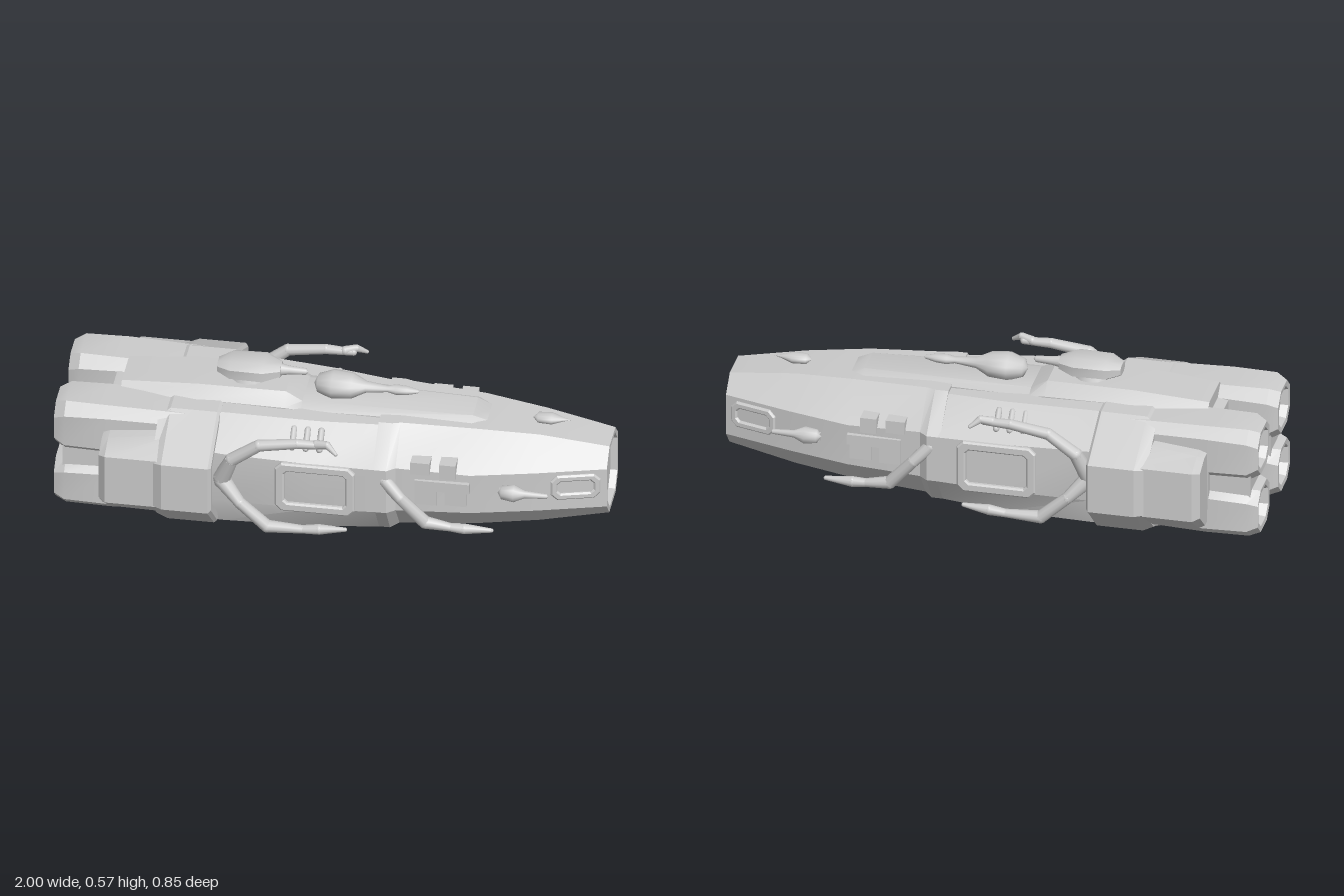
import * as THREE from 'three';
import { toCreasedNormals } from 'three/addons/utils/BufferGeometryUtils.js';

const grey = new THREE.MeshStandardMaterial({ color: 0xcccccc });

function add(parent, geo, name, pos = [0, 0, 0]) {
  const m = new THREE.Mesh(geo, grey);
  m.name = name;
  m.position.set(...pos);
  parent.add(m);
  return m;
}

// Eight-sided ring in the y/z plane: half width w, bottom y0, top y1,
// flat half widths b (bottom) and t (top), side flat from s0 to s1.
const ring = (x, w, y0, y1, b, t, s0, s1) =>
  [[-t, y1], [t, y1], [w, s1], [w, s0], [b, y0], [-b, y0], [-w, s0], [-w, s1]]
    .map(([z, y]) => new THREE.Vector3(x, y, z));

// Regular chamfered ring about (cy, 0) with half sizes w and h
const oct = (x, w, h, cy, k = 0.5) => ring(x, w, cy - h, cy + h, w * k, w * k, cy - h * k, cy + h * k);

// Skin a row of rings and close both ends
function loft(rings, crease = 0.45) {
  const p = [];
  const tri = (...vs) => vs.forEach(v => p.push(v.x, v.y, v.z));
  const n = rings[0].length;
  for (let r = 0; r < rings.length - 1; r++) {
    const a = rings[r], c = rings[r + 1];
    for (let i = 0; i < n; i++) {
      const j = (i + 1) % n;
      tri(a[i], a[j], c[i]);
      tri(a[j], c[j], c[i]);
    }
  }
  const first = rings[0], last = rings[rings.length - 1];
  for (let i = 1; i < n - 1; i++) {
    tri(first[0], first[i + 1], first[i]);
    tri(last[0], last[i], last[i + 1]);
  }
  const g = new THREE.BufferGeometry();
  g.setAttribute('position', new THREE.Float32BufferAttribute(p, 3));
  return toCreasedNormals(g, crease);
}

// Jointed limb of tapered rods through points [x, y, z, radius]
function limb(parent, name, pts) {
  const g = new THREE.Group();
  g.name = name;
  pts.forEach(([x, y, z, r], i) => {
    add(g, new THREE.SphereGeometry(r, 10, 8), 'joint', [x, y, z]);
    if (!i) return;
    const [px, py, pz, pr] = pts[i - 1];
    const d = new THREE.Vector3(x - px, y - py, z - pz);
    const rod = add(g, new THREE.CylinderGeometry(r, pr, d.length(), 10), 'rod',
      [(x + px) / 2, (y + py) / 2, (z + pz) / 2]);
    rod.quaternion.setFromUnitVectors(new THREE.Vector3(0, 1, 0), d.normalize());
  });
  parent.add(g);
  return g;
}

// Turned shape along x from [x, radius] pairs
function turned(parent, name, profile, y, z, sy = 1) {
  const g = new THREE.LatheGeometry(profile.map(([x, r]) => new THREE.Vector2(r, x)), 14);
  g.rotateZ(-Math.PI / 2);
  g.scale(1, sy, 1);
  return add(parent, g, name, [0, y, z]);
}

// Raised rectangular frame facing +z
function frame(w, h, rim, depth) {
  const rect = (S, a, b, c) => {
    const s = new S();
    s.moveTo(-a + c, -b); s.lineTo(a - c, -b); s.lineTo(a, -b + c); s.lineTo(a, b - c);
    s.lineTo(a - c, b); s.lineTo(-a + c, b); s.lineTo(-a, b - c); s.lineTo(-a, -b + c);
    s.closePath();
    return s;
  };
  const shape = rect(THREE.Shape, w / 2, h / 2, 0.02);
  shape.holes.push(rect(THREE.Path, w / 2 - rim, h / 2 - rim, 0.015));
  return new THREE.ExtrudeGeometry(shape, { depth, bevelEnabled: true, bevelSize: 0.006, bevelThickness: 0.006, bevelSegments: 1 });
}

export function createModel() {
  const ship = new THREE.Group();
  ship.name = 'spaceship';

  // Tapering front hull with a recessed nose
  add(ship, loft([
    ring(0.17, 0.285, 0.025, 0.44, 0.2, 0.15, 0.14, 0.32),
    ring(0.22, 0.285, 0.025, 0.44, 0.2, 0.15, 0.14, 0.32),
    ring(0.25, 0.26, 0.03, 0.44, 0.17, 0.14, 0.14, 0.32),
    ring(0.52, 0.25, 0.03, 0.43, 0.13, 0.12, 0.15, 0.31),
    ring(0.75, 0.195, 0.05, 0.41, 0.1, 0.09, 0.15, 0.31),
    ring(1, 0.125, 0.09, 0.37, 0.07, 0.065, 0.15, 0.31),
    ring(1, 0.105, 0.108, 0.352, 0.06, 0.057, 0.16, 0.3),
    ring(0.975, 0.1, 0.112, 0.348, 0.056, 0.054, 0.162, 0.298),
  ]), 'frontHull');

  // Broad middle hull
  add(ship, loft([
    ring(-0.82, 0.27, 0.08, 0.42, 0.2, 0.2, 0.14, 0.35),
    ring(-0.6, 0.28, 0.03, 0.45, 0.25, 0.2, 0.14, 0.35),
    ring(-0.38, 0.285, 0.025, 0.455, 0.25, 0.2, 0.13, 0.33),
    ring(-0.05, 0.285, 0.02, 0.44, 0.23, 0.18, 0.13, 0.32),
    ring(0.18, 0.285, 0.025, 0.43, 0.2, 0.15, 0.14, 0.32),
  ]), 'middleHull');

  // Wide collar and the side pods behind it
  add(ship, loft([
    ring(-0.62, 0.4, 0.05, 0.44, 0.28, 0.24, 0.16, 0.34),
    ring(-0.58, 0.425, 0.03, 0.46, 0.28, 0.21, 0.16, 0.35),
    ring(-0.41, 0.425, 0.03, 0.46, 0.28, 0.21, 0.16, 0.35),
    ring(-0.4, 0.41, 0.035, 0.455, 0.27, 0.2, 0.165, 0.345),
    ring(-0.4, 0.38, 0.05, 0.44, 0.25, 0.18, 0.175, 0.335),
    ring(-0.43, 0.36, 0.06, 0.43, 0.24, 0.17, 0.18, 0.33),
  ]), 'collar');
  add(ship, loft([
    ring(-0.815, 0.38, 0.09, 0.37, 0.3, 0.31, 0.16, 0.34),
    ring(-0.79, 0.405, 0.075, 0.38, 0.3, 0.32, 0.155, 0.35),
    ring(-0.56, 0.405, 0.07, 0.4, 0.3, 0.3, 0.155, 0.35),
  ]), 'sidePods');

  // Stepped spine and keel
  add(ship, loft([
    ring(-0.78, 0.12, 0.4, 0.475, 0.12, 0.08, 0.4, 0.44),
    ring(-0.5, 0.14, 0.4, 0.495, 0.14, 0.09, 0.4, 0.46),
    ring(-0.18, 0.13, 0.4, 0.49, 0.13, 0.08, 0.4, 0.45),
    ring(-0.12, 0.12, 0.4, 0.455, 0.12, 0.08, 0.4, 0.44),
    ring(0.5, 0.09, 0.4, 0.447, 0.09, 0.06, 0.4, 0.43),
    ring(0.57, 0.07, 0.4, 0.42, 0.07, 0.05, 0.4, 0.41),
  ]), 'spine');
  add(ship, loft([
    ring(-0.08, 0.11, 0.025, 0.1, 0.1, 0.11, 0.03, 0.1),
    ring(-0.04, 0.125, 0.002, 0.1, 0.105, 0.125, 0.02, 0.1),
    ring(0.15, 0.125, 0, 0.1, 0.105, 0.125, 0.02, 0.1),
    ring(0.2, 0.12, 0.012, 0.1, 0.1, 0.12, 0.025, 0.1),
    ring(0.55, 0.1, 0.012, 0.1, 0.08, 0.1, 0.03, 0.1),
    ring(0.62, 0.09, 0.04, 0.1, 0.07, 0.09, 0.05, 0.1),
  ]), 'keel');

  // Four engines with hollow nozzles
  for (const s of [-1, 1]) {
    for (const [cy, h] of [[0.358, 0.102], [0.122, 0.095]]) {
      add(ship, loft([
        oct(-0.9, 0.05, 0.045, cy),
        oct(-0.97, 0.068, 0.06, cy),
        oct(-0.998, 0.075, 0.066, cy),
        oct(-1, 0.094, 0.085, cy),
        oct(-0.96, 0.11, h, cy, 0.6),
        oct(-0.8, 0.11, h, cy, 0.65),
        oct(-0.45, 0.1, h * 0.9, cy, 0.65),
      ]), 'engine', [0, 0, s * 0.16]);
    }
    add(ship, new THREE.BoxGeometry(0.2, 0.2, 0.17), 'engineBridge', [-0.87, 0.24, s * 0.16]);
  }

  // Dorsal turrets
  add(ship, loft([oct(-0.44, 0.035, 0.02, 0.53), oct(-0.39, 0.07, 0.035, 0.532), oct(-0.27, 0.073, 0.036, 0.532),
    oct(-0.21, 0.035, 0.022, 0.53)], 0.8), 'rearTurret');
  turned(ship, 'rearTurretBarrel', [[-0.25, 0.03], [-0.18, 0.016], [-0.12, 0.012], [-0.11, 0]], 0.53, 0);
  add(ship, new THREE.CylinderGeometry(0.05, 0.075, 0.06, 12), 'rearTurretBase', [-0.33, 0.5, 0]);
  turned(ship, 'frontTurret', [[-0.09, 0], [-0.075, 0.04], [-0.02, 0.063], [0.05, 0.055], [0.1, 0.025], [0.18, 0.014],
    [0.21, 0.022], [0.25, 0.019], [0.29, 0.008], [0.295, 0]], 0.488, 0, 0.8);

  // Single guns above and below the nose
  turned(ship, 'topNoseGun', [[0.71, 0], [0.73, 0.025], [0.78, 0.028], [0.82, 0.01], [0.85, 0]], 0.425, 0, 0.7);
  turned(ship, 'bottomNoseGun', [[0.7, 0], [0.73, 0.035], [0.79, 0.03], [0.82, 0.013], [0.89, 0.01], [0.9, 0]], 0.04, 0, 0.7);

  // Everything that appears on both sides, built for +z and turned over by mirroring z
  for (const s of [1, -1]) {
    const side = new THREE.Group();
    side.name = s > 0 ? 'rightSideFittings' : 'leftSideFittings';
    const at = (x, y, z) => [x, y, s * z];

    // Mechanical arms: two behind the middle panel, one on the front hull
    const arm = (name, pts) => limb(side, name, pts.map(([x, y, z, r]) => [x, y, s * z, r]));
    arm('upperArm', [[-0.38, 0.23, 0.285, 0.032], [-0.34, 0.33, 0.315, 0.025], [-0.24, 0.405, 0.322, 0.022], [-0.1, 0.425, 0.318, 0.019], [0, 0.425, 0.315, 0.014]]);
    arm('upperClaw', [[-0.03, 0.428, 0.315, 0.017], [0.01, 0.436, 0.325, 0.014], [0.045, 0.412, 0.345, 0.007]]);
    arm('lowerArm', [[-0.38, 0.22, 0.285, 0.032], [-0.31, 0.15, 0.318, 0.022], [-0.21, 0.06, 0.318, 0.024], [-0.08, 0.06, 0.318, 0.016], [-0.02, 0.066, 0.318, 0.02], [0.075, 0.075, 0.318, 0.008]]);
    arm('frontArm', [[0.21, 0.27, 0.265, 0.025], [0.27, 0.21, 0.285, 0.022], [0.36, 0.105, 0.268, 0.024], [0.45, 0.09, 0.262, 0.016], [0.5, 0.087, 0.26, 0.02], [0.6, 0.087, 0.255, 0.008]]);

    // Framed panel on the middle hull
    const panel = add(side, frame(0.28, 0.19, 0.022, 0.012), 'sidePanel', at(-0.04, 0.22, 0.283));
    if (s < 0) panel.rotation.y = Math.PI;

    // Equipment boxes on the front hull
    for (const [x, y, w, h] of [[0.34, 0.33, 0.07, 0.05], [0.44, 0.325, 0.06, 0.06], [0.36, 0.21, 0.08, 0.06], [0.47, 0.22, 0.08, 0.07], [0.42, 0.26, 0.2, 0.04]])
      add(side, new THREE.BoxGeometry(w, h, 0.07), 'equipmentBox', at(x, y, 0.232));

    // Vents on the sloping shoulder
    for (let i = 0; i < 3; i++) {
      const vent = add(side, new THREE.CapsuleGeometry(0.012, 0.07, 4, 8), 'vent', at(-0.13 + i * 0.05, 0.388, 0.225));
      vent.rotation.x = -s * 0.75;
    }

    // Side gun and slot frame on the nose
    turned(side, 'sideGun', [[0.62, 0], [0.635, 0.025], [0.68, 0.032], [0.72, 0.014], [0.8, 0.009], [0.805, 0]], 0.245, s * 0.24);
    add(side, new THREE.BoxGeometry(0.07, 0.03, 0.06), 'sideGunMount', at(0.66, 0.24, 0.215));
    const slot = add(side, frame(0.17, 0.09, 0.014, 0.006), 'noseSlot', at(0.89, 0.245, 0.154));
    slot.rotation.y = s > 0 ? 0.272 : Math.PI - 0.272;
    ship.add(side);
  }
  return ship;
}
